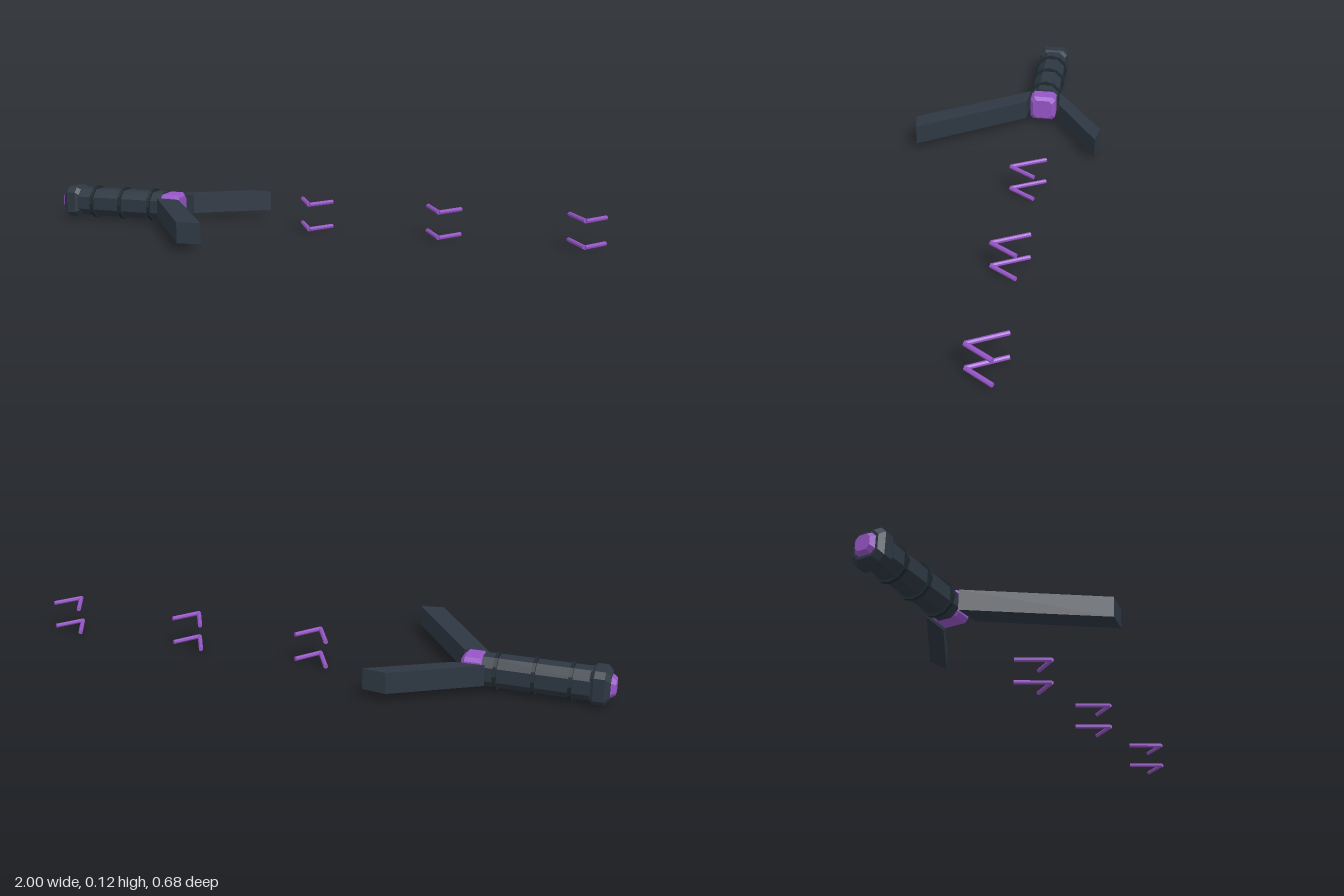
import * as THREE from 'three';
import { ConvexGeometry } from 'three/addons/geometries/ConvexGeometry.js';

const CY = 0.065, CZ = -0.11; // handle axis

export function createModel() {
  const model = new THREE.Group();
  const make = (name, color) => {
    const m = new THREE.MeshStandardMaterial({ color });
    m.name = name;
    return m;
  };
  const dark = make('darkSlate', 0x2d3742);
  const ringDark = make('darkTeal', 0x1f2b30);
  const purple = make('purple', 0x9655c6);

  const add = (name, geometry, material, parent = model) => {
    const mesh = new THREE.Mesh(geometry, material);
    mesh.name = name;
    parent.add(mesh);
    return mesh;
  };

  // Faceted solid along x; each section is [x, halfHeight, halfDepth, cornerCut]
  const faceted = (name, sections, material) => {
    const points = [];
    for (const [x, h, w, c] of sections) {
      for (const sy of [-1, 1]) for (const sz of [-1, 1]) {
        points.push(new THREE.Vector3(x, CY + sy * h, CZ + sz * (w - c)));
        points.push(new THREE.Vector3(x, CY + sy * (h - c), CZ + sz * w));
      }
    }
    return add(name, new ConvexGeometry(points), material);
  };

  // Handle, pommel and purple end pieces
  faceted('handle', [[-0.94, 0.05, 0.05, 0.027], [-0.585, 0.05, 0.05, 0.027]], dark);
  faceted('pommel', [[-0.985, 0.042, 0.042, 0.018], [-0.968, 0.055, 0.055, 0.018],
    [-0.935, 0.055, 0.055, 0.018], [-0.922, 0.047, 0.047, 0.018]], dark);
  faceted('pommelCap', [[-1, 0.025, 0.025, 0.012], [-0.98, 0.037, 0.037, 0.015]], purple);
  faceted('guard', [[-0.59, 0.038, 0.04, 0.012], [-0.578, 0.047, 0.048, 0.012],
    [-0.53, 0.047, 0.048, 0.012], [-0.517, 0.036, 0.036, 0.012]], purple);

  // Grip rings
  for (const x of [-0.865, -0.75, -0.63]) {
    const geometry = new THREE.CylinderGeometry(0.062, 0.062, 0.011, 12).toNonIndexed();
    geometry.computeVertexNormals();
    geometry.rotateX(Math.PI / 2).rotateY(Math.PI / 2).rotateX(Math.PI / 2);
    add('gripRing', geometry, ringDark).position.set(x, CY, CZ);
  }

  // Swept arms: x/z outlines raised to a constant height
  const arm = (name, outline) => {
    const shape = new THREE.Shape(outline.map(([x, z]) => new THREE.Vector2(x, -z)));
    const geometry = new THREE.ExtrudeGeometry(shape, { depth: 0.07, bevelEnabled: false });
    geometry.rotateX(-Math.PI / 2);
    add(name, geometry, dark).position.y = 0.03;
  };
  arm('frontArm', [[-0.595, -0.057], [-0.505, -0.05], [-0.25, 0.327], [-0.33, 0.341]]);
  arm('backArm', [[-0.6, -0.168], [-0.5, -0.174], [-0.25, -0.328], [-0.33, -0.341]]);

  // Three pairs of floating chevrons
  const up = new THREE.Vector3(0, 1, 0);
  const rod = (parent, from, to) => {
    const dir = to.clone().sub(from);
    const geometry = new THREE.CylinderGeometry(0.0076, 0.0076, dir.length(), 8, 1).toNonIndexed();
    geometry.computeVertexNormals();
    const mesh = add('chevronRod', geometry, purple, parent);
    mesh.position.copy(from).add(to).multiplyScalar(0.5);
    mesh.quaternion.setFromUnitVectors(up, dir.normalize());
  };
  for (const x of [-0.005, 0.455, 0.937]) {
    for (const y of [0.022, 0.109]) {
      const chevron = new THREE.Group();
      chevron.name = 'chevron';
      chevron.position.set(x, y, 0);
      model.add(chevron);
      const tip = new THREE.Vector3(-0.001, 0, -0.056);
      rod(chevron, tip, new THREE.Vector3(-0.064, 0, -0.172));
      rod(chevron, tip, new THREE.Vector3(0.057, 0, -0.142));
    }
  }

  return model;
}
